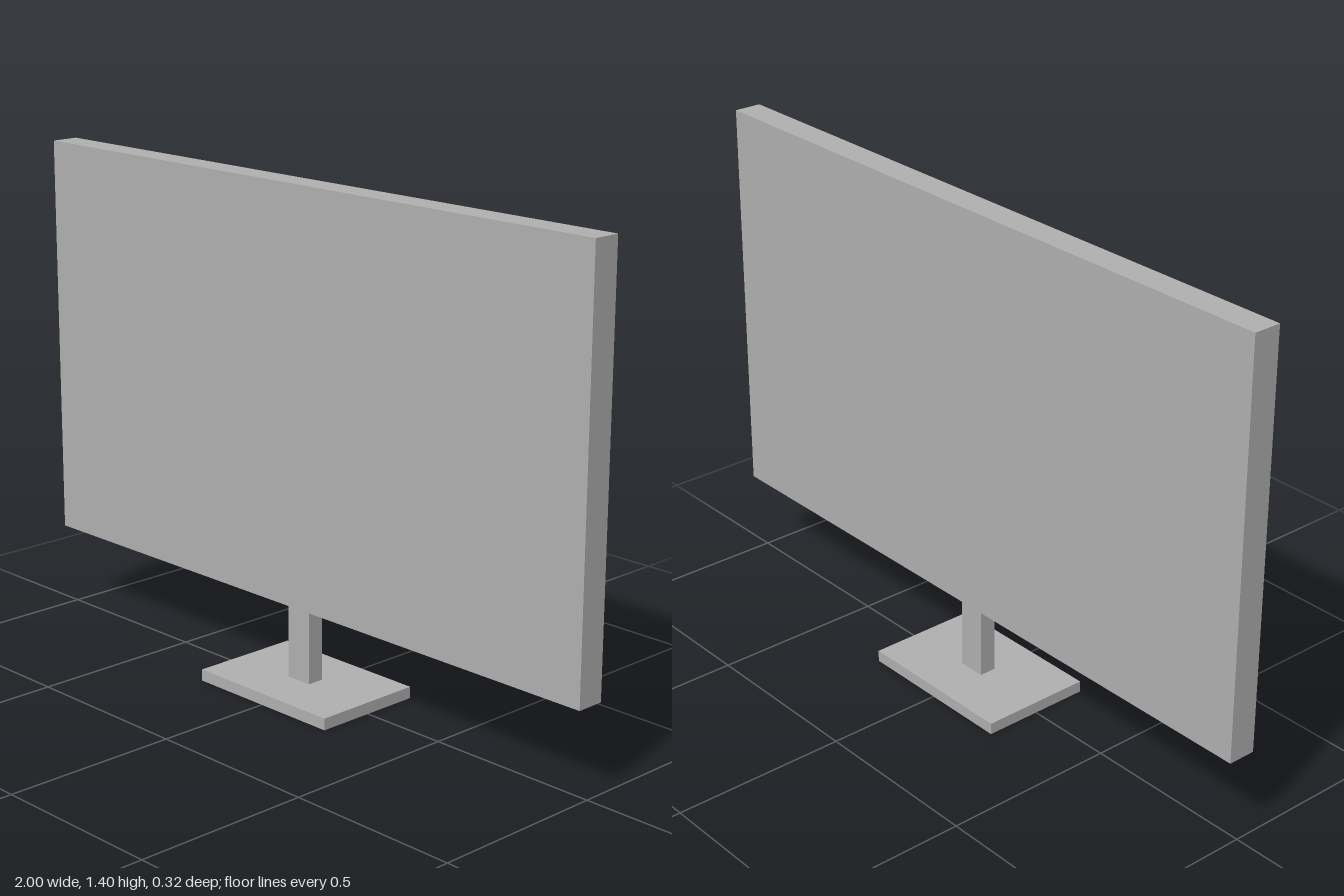
import * as THREE from 'three';

export function createModel() {
  const model = new THREE.Group();
  model.name = 'monitor';

  const grey = new THREE.MeshStandardMaterial({ color: 0xb0b0b0 });
  grey.name = 'grey plastic';

  // Centred box standing between two heights
  const addBox = (name, width, depth, bottom, top) => {
    const mesh = new THREE.Mesh(new THREE.BoxGeometry(width, top - bottom, depth), grey);
    mesh.name = name;
    mesh.position.y = (bottom + top) / 2;
    model.add(mesh);
  };

  addBox('base', 0.486, 0.324, 0, 0.033);
  addBox('neck', 0.081, 0.049, 0.033, 0.246);
  addBox('screen', 2, 0.08, 0.246, 1.403);

  return model;
}
